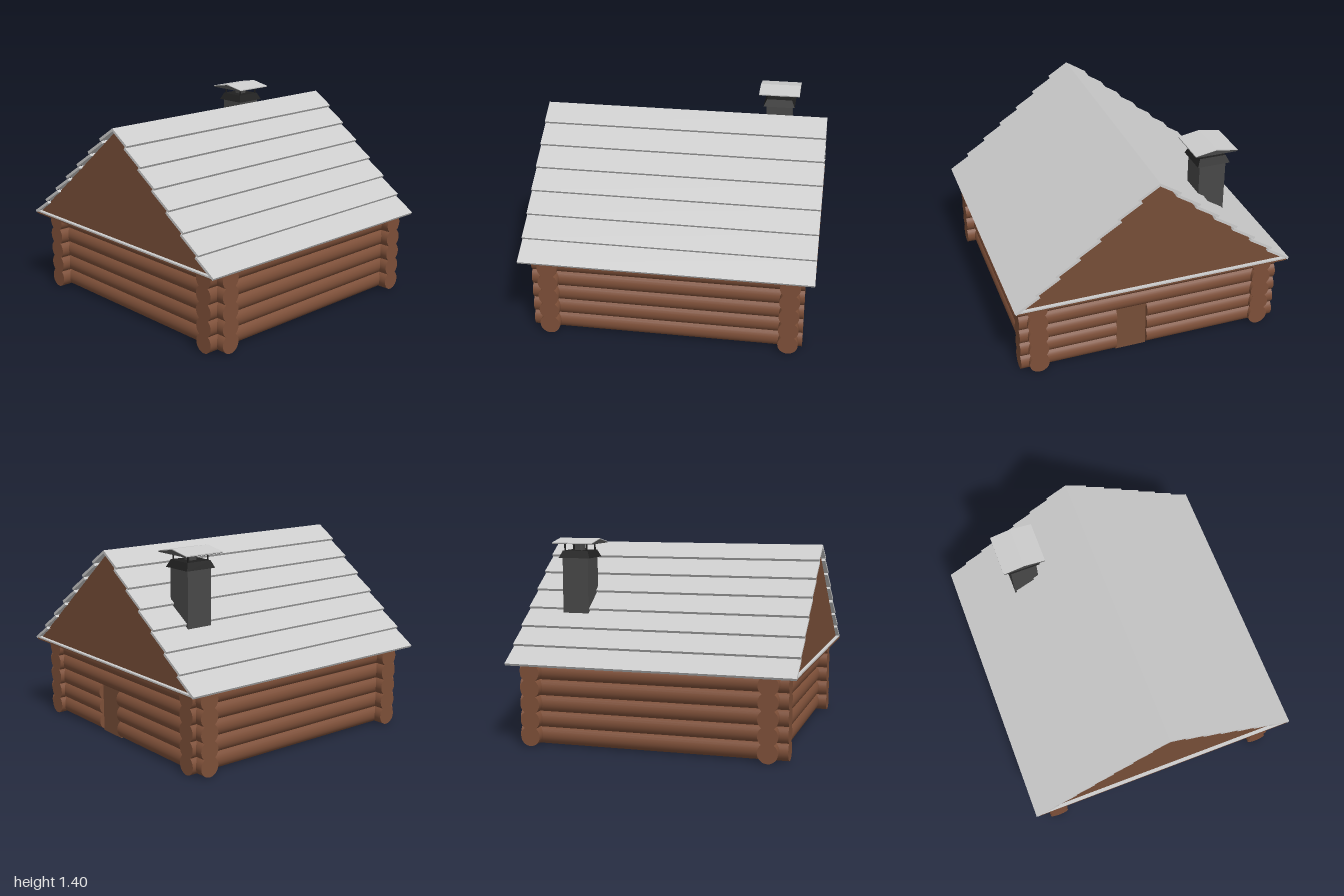
import * as THREE from 'three';

const paint = (color) => new THREE.MeshStandardMaterial({ color });
const grey = paint(0xcccccc), logBrown = paint(0x7d4f38), boardBrown = paint(0x764d37);
const charcoal = paint(0x484848), black = paint(0x202020);

function add(parent, name, geometry, material, x = 0, y = 0, z = 0) {
  const mesh = new THREE.Mesh(geometry, material);
  mesh.name = name;
  mesh.position.set(x, y, z);
  parent.add(mesh);
  return mesh;
}

// Outline in x and y, extruded evenly about z = 0
function prism(points, depth) {
  const shape = new THREE.Shape(points.map(([x, y]) => new THREE.Vector2(x, y)));
  return new THREE.ExtrudeGeometry(shape, { depth, bevelEnabled: false }).translate(0, 0, -depth / 2);
}

function createWalls() {
  const walls = new THREE.Group();
  walls.name = 'logWalls';
  const R = 0.069, END = 0.935, SIDE_X = 0.8125, FRONT_Z = 0.81, BACK_Z = -0.84;
  const doorLeft = 0.25, doorRight = 0.03;

  const logAlongX = (name, x0, x1, y, z) => {
    const g = new THREE.CylinderGeometry(R, R, x1 - x0, 28).rotateZ(Math.PI / 2);
    add(walls, name, g, logBrown, (x0 + x1) / 2, y, z);
  };

  for (let i = 0; i < 5; i++) {
    const y = 0.07 + i * 0.11;
    for (const s of [-1, 1]) {
      const g = new THREE.CylinderGeometry(R, R, END * 2, 28).rotateX(Math.PI / 2);
      add(walls, 'sideLog', g, logBrown, s * SIDE_X, y, 0);
    }
    logAlongX('frontLog', -END, END, y, FRONT_Z);
    // The lower back logs stop at the doorway
    if (i < 3) {
      logAlongX('backLog', -END, doorRight, y, BACK_Z);
      logAlongX('backLog', doorLeft, END, y, BACK_Z);
    } else {
      logAlongX('backLog', -END, END, y, BACK_Z);
    }
  }

  // Door set back between the log ends
  add(walls, 'door', new THREE.BoxGeometry(doorLeft - doorRight, 0.345, 0.05), boardBrown,
    (doorLeft + doorRight) / 2, 0.1725, -0.85);
  return walls;
}

function createRoof() {
  const roof = new THREE.Group();
  roof.name = 'roof';

  // Gable block, eaves board and the pale strip along its top
  add(roof, 'gables', prism([[-0.95, 0.56], [0.95, 0.56], [0, 1.33]], 1.95), boardBrown);
  add(roof, 'eavesBoard', new THREE.BoxGeometry(1.92, 0.01, 2), boardBrown, 0, 0.563, 0);
  add(roof, 'eavesStrip', new THREE.BoxGeometry(1.9, 0.01, 1.998), grey, 0, 0.573, 0);

  // Seven overlapping planks a side, each lying flatter than the roof slope
  const STEP_X = 0.1383, STEP_Y = 0.1145, SLOPE = 0.63;
  const len = Math.hypot(1, SLOPE), T = 0.018;
  const nx = -SLOPE / len * T, ny = -T / len;
  for (const s of [-1, 1]) {
    for (let k = 0; k < 7; k++) {
      const x1 = 0.15 + k * STEP_X, y1 = 1.262 - k * STEP_Y;
      const run = k === 0 ? x1 : STEP_X + 0.025;
      const x0 = x1 - run, y0 = y1 + run * SLOPE;
      const outline = [[x0, y0], [x0 + (k ? nx : 0), y0 + (k ? ny : -T * len)],
        [x1 + nx, y1 + ny], [x1, y1]];
      add(roof, 'roofPlank', prism(outline.map(([x, y]) => [s * x, y]), 2), grey);
    }
  }
  return roof;
}

function createChimney() {
  const chimney = new THREE.Group();
  chimney.name = 'chimney';
  chimney.position.set(-0.482, 0, -0.64);

  add(chimney, 'stack', new THREE.BoxGeometry(0.188, 0.48, 0.188), charcoal, 0, 1.03, 0);

  // Square collar tapering upward
  const collar = new THREE.CylinderGeometry(0.092 * Math.SQRT2, 0.115 * Math.SQRT2, 0.05, 4, 1)
    .rotateY(Math.PI / 4).toNonIndexed();
  collar.computeVertexNormals();
  add(chimney, 'collar', collar, black, 0, 1.295, 0);

  // Flue and the four posts that carry the cap
  add(chimney, 'flue', new THREE.BoxGeometry(0.055, 0.055, 0.055), charcoal, 0, 1.345, 0);
  for (const x of [-1, 1]) {
    for (const z of [-1, 1]) {
      add(chimney, 'capPost', new THREE.BoxGeometry(0.009, 0.055, 0.009), black, x * 0.08, 1.345, z * 0.08);
    }
  }

  // Low pitched cap, dark beneath and pale on top
  add(chimney, 'capBase', prism([[-0.148, 1.368], [0.148, 1.368], [0.148, 1.374], [0, 1.399], [-0.148, 1.374]], 0.298), charcoal);
  add(chimney, 'capTop', prism([[-0.15, 1.371], [0, 1.397], [0.15, 1.371], [0.15, 1.378], [0, 1.405], [-0.15, 1.378]], 0.297), grey);
  return chimney;
}

export function createModel() {
  const model = new THREE.Group();
  model.name = 'logCabin';
  model.add(createWalls(), createRoof(), createChimney());
  return model;
}
